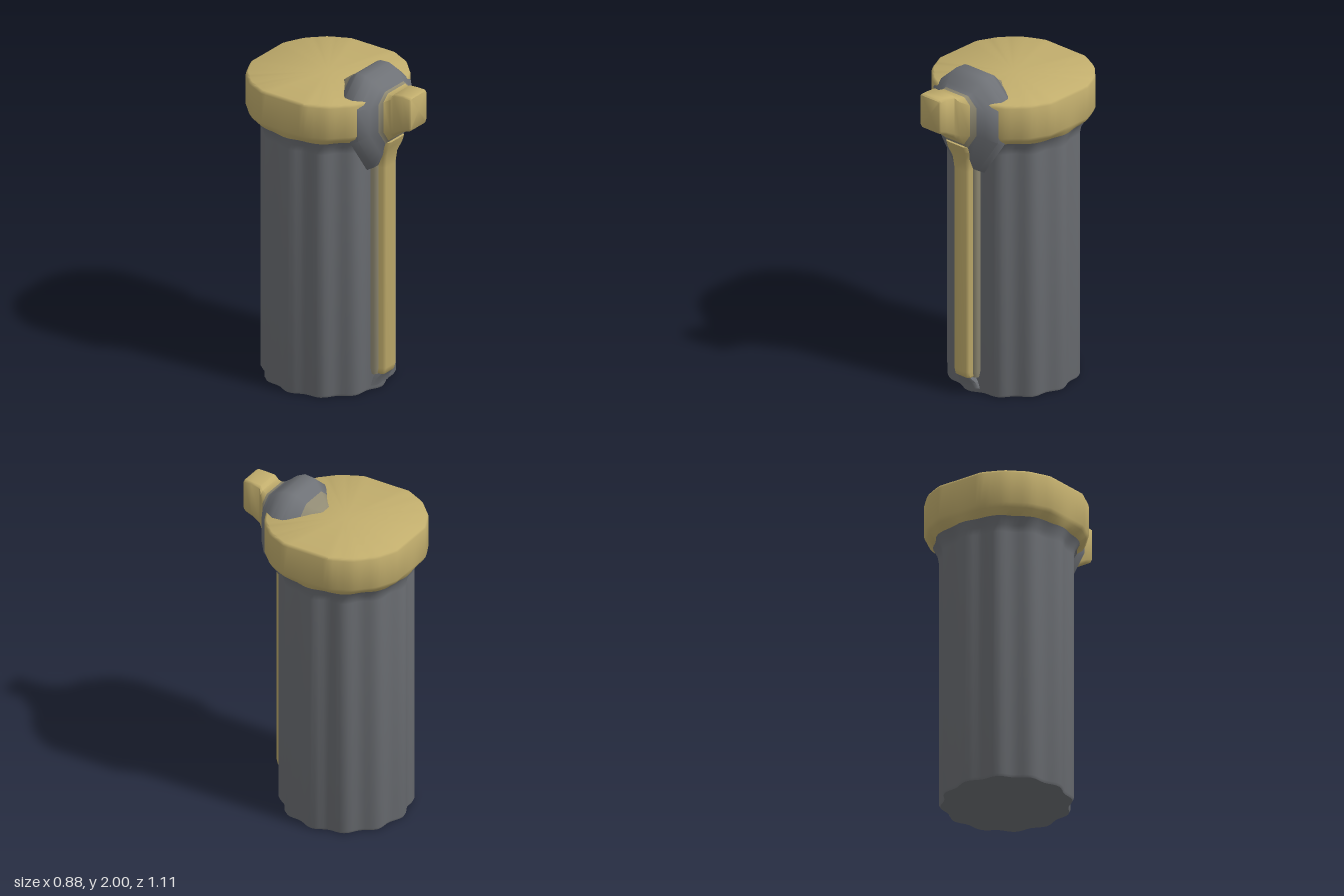
import * as THREE from 'three';
import { toCreasedNormals } from 'three/addons/utils/BufferGeometryUtils.js';

const material = (name, color) => {
  const m = new THREE.MeshStandardMaterial({ color });
  m.name = name;
  return m;
};

// Skin a stack of rings (counter-clockwise seen from the far end) and cap both ends.
// slots[i] picks the material for the band between ring i and ring i + 1.
function loft(name, rings, materials, slots, crease) {
  const n = rings[0].length;
  const positions = rings.flat(2);
  const index = [];
  const geometry = new THREE.BufferGeometry();
  const addGroup = (slot, build) => {
    const start = index.length;
    build();
    geometry.addGroup(start, index.length - start, slot);
  };
  const cap = (ring, flip) => {
    const center = positions.length / 3;
    for (let k = 0; k < 3; k++) {
      positions.push(rings[ring].reduce((sum, p) => sum + p[k], 0) / n);
    }
    for (let j = 0; j < n; j++) {
      const a = ring * n + j, b = ring * n + (j + 1) % n;
      index.push(center, flip ? b : a, flip ? a : b);
    }
  };
  for (let i = 0; i < rings.length - 1; i++) {
    addGroup(slots[i], () => {
      for (let j = 0; j < n; j++) {
        const k = (j + 1) % n;
        const a = i * n + j, b = i * n + k, c = b + n, d = a + n;
        index.push(a, b, c, a, c, d);
      }
    });
  }
  addGroup(slots[0], () => cap(0, true));
  addGroup(slots[slots.length - 1], () => cap(rings.length - 1, false));
  geometry.setAttribute('position', new THREE.Float32BufferAttribute(positions, 3));
  geometry.setIndex(index);
  const mesh = new THREE.Mesh(toCreasedNormals(geometry, crease), materials);
  mesh.name = name;
  return mesh;
}

// Lid outline, mirrored from one quarter
const quarter = [[0.44, 0.155], [0.41, 0.215], [0.382, 0.278], [0.28, 0.38], [0.215, 0.412], [0.155, 0.44]];
const half = [...quarter, ...[...quarter].reverse().map(([x, z]) => [-x, z])];
const outline = [...half, ...half.map(([x, z]) => [-x, -z])];

// Distance from the lid's middle to its outline at a given angle
function lidRadius(angle) {
  const dx = Math.cos(angle), dz = Math.sin(angle);
  for (let i = 0; i < outline.length; i++) {
    const [ax, az] = outline[i], [bx, bz] = outline[(i + 1) % outline.length];
    const from = dx * az - dz * ax, to = dx * bz - dz * bx;
    if (from <= 0 && to > 0) return (ax * bz - az * bx) / (to - from);
  }
  return 0.44;
}

// The canister has twelve soft flutes
const canisterRadius = (angle) => 0.377 + 0.012 * Math.cos(12 * angle);

// Horizontal ring that blends from canister (0) to lid (1)
const CENTER_Z = -0.11;
function ring(y, blend, scale = 1) {
  return Array.from({ length: 96 }, (_, i) => {
    const angle = (i / 96) * Math.PI * 2;
    const r = scale * THREE.MathUtils.lerp(canisterRadius(angle), lidRadius(angle), blend);
    return [r * Math.cos(angle), y, CENTER_Z - r * Math.sin(angle)];
  });
}

// Chamfered cross-section of the spout, in the xy plane
function spoutRing([z, cx, w, bottom, top, cut]) {
  const c = w * cut, low = c * 1.1, lowY = c * 1.6, topY = c * 0.9;
  return [
    [w, bottom + lowY], [w, top - topY], [w - c, top], [c - w, top],
    [-w, top - topY], [-w, bottom + lowY], [low - w, bottom], [w - low, bottom],
  ].map(([x, y]) => [cx + x, y, z]);
}

// Bevelled cross-section of a rib running up the front
function ribRing([y, w, front]) {
  const e = w * 0.25, rear = 0.22;
  return [
    [w, rear], [-w, rear], [-w, front - e], [e - w, front], [w - e, front], [w, front - e],
  ].map(([x, z]) => [x, y, z]);
}

export function createModel() {
  const group = new THREE.Group();
  const palette = [
    material('slate grey', 0x6f7277),
    material('dull gold', 0xc2ae6d),
    material('worn edge', 0x918b74),
  ];

  // Fluted canister with a flared neck
  group.add(loft('canister', [
    ring(0, 0, 0.98), ring(0.015, 0), ring(1.54, 0), ring(1.58, 0.1), ring(1.625, 0.42),
  ], palette, [0, 0, 0, 0], 0.7));

  // Lid, starting on the flare
  group.add(loft('lid', [
    ring(1.625, 0.42), ring(1.66, 0.85), ring(1.685, 1),
    ring(1.872, 1), ring(1.885, 1, 0.988), ring(1.89, 1, 0.97),
  ], palette, [1, 1, 1, 1, 1], 0.7));

  // Spout: grey hump blending into a square gold knob
  // each row: z, centre x, half width, bottom, top, chamfer
  const spout = [
    [0.02, 0, 0.07, 1.7, 1.885, 0.55],
    [0.07, 0, 0.13, 1.65, 1.912, 0.55],
    [0.11, 0, 0.18, 1.6, 1.945, 0.55],
    [0.16, 0, 0.225, 1.5, 1.99, 0.55],
    [0.18, 0, 0.24, 1.45, 2.0, 0.55],
    [0.24, 0, 0.255, 1.4, 2.0, 0.55],
    [0.29, 0, 0.253, 1.43, 1.975, 0.55],
    [0.335, 0, 0.2, 1.52, 1.94, 0.5],
    [0.36, 0, 0.15, 1.59, 1.925, 0.42],
    [0.38, -0.005, 0.125, 1.62, 1.92, 0.35],
    [0.42, -0.022, 0.097, 1.66, 1.92, 0.2],
    [0.44, -0.03, 0.085, 1.68, 1.94, 0.15],
    [0.5, -0.03, 0.08, 1.715, 1.945, 0.14],
    [0.545, -0.03, 0.08, 1.732, 1.945, 0.14],
    [0.555, -0.03, 0.074, 1.74, 1.938, 0.14],
  ];
  group.add(loft('spout', spout.map(spoutRing), palette,
    [2, 2, 0, 0, 0, 0, 0, 0, 2, 1, 1, 1, 1, 1], 0.95));

  // Front rib, widening where it meets the spout; each row: y, half width, front z
  group.add(loft('frontRib', [
    [0.095, 0.045, 0.305], [0.115, 0.056, 0.327], [0.15, 0.058, 0.335], [1.42, 0.058, 0.335],
    [1.5, 0.066, 0.345], [1.56, 0.088, 0.368], [1.6, 0.085, 0.382],
  ].map(ribRing), palette, [1, 1, 1, 1, 1, 1], 0.9));

  // Worn border along the rib, and the tapered foot below it
  group.add(loft('ribBorder', [
    [0.1, 0.07, 0.28], [0.14, 0.078, 0.29], [1.48, 0.078, 0.29],
  ].map(ribRing), palette, [2, 2], 0.9));
  group.add(loft('ribFoot', [
    [0.03, 0.075, 0.275], [0.07, 0.065, 0.292], [0.11, 0.05, 0.32],
  ].map(ribRing), palette, [0, 0], 0.9));

  return group;
}
